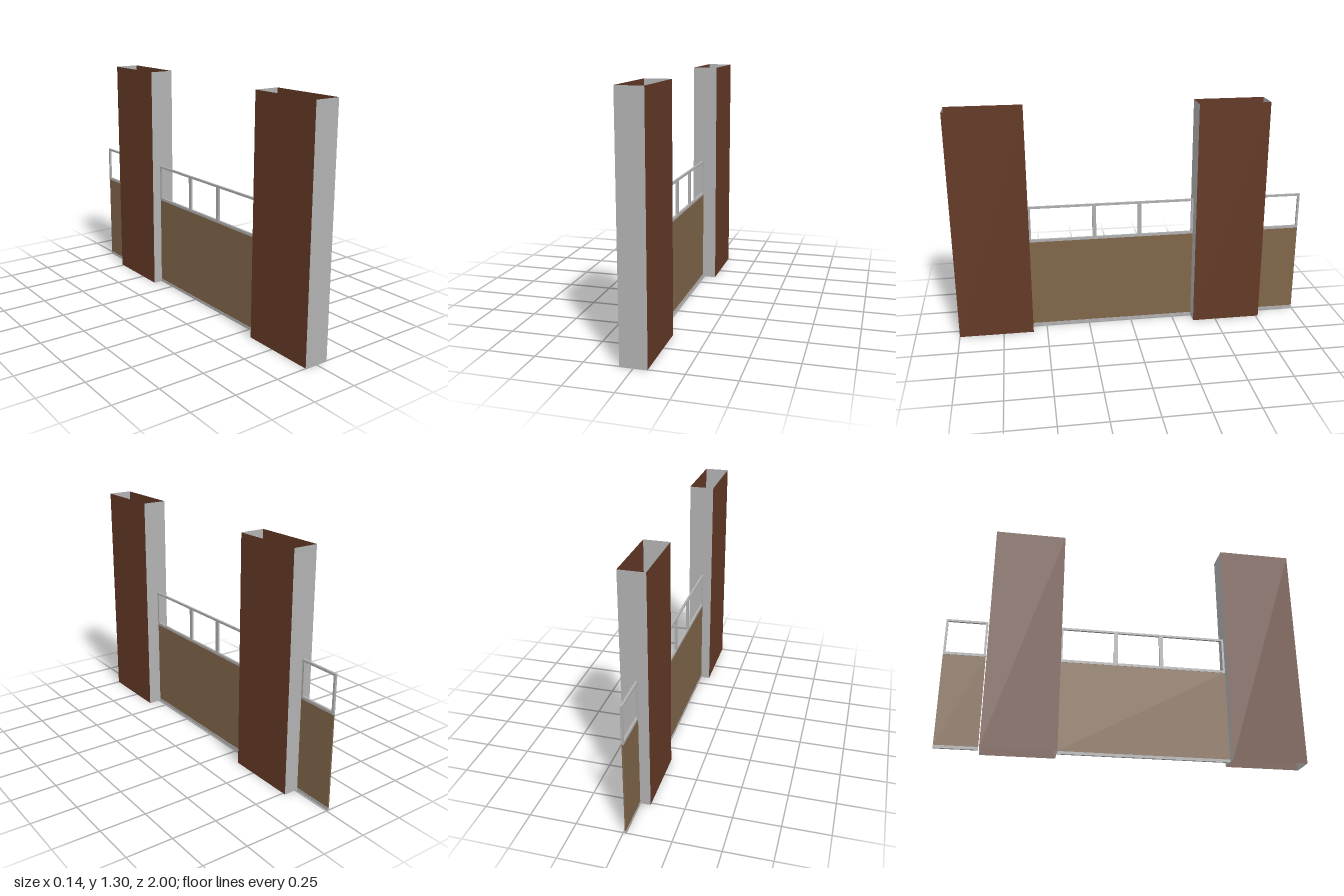
import * as THREE from 'three';

export function createModel() {
  const model = new THREE.Group();
  model.name = 'fenceWithPillars';

  const mat = (name, color, side = THREE.FrontSide) => {
    const m = new THREE.MeshStandardMaterial({ color, side });
    m.name = name;
    return m;
  };
  const brick = mat('brick brown', 0x643926, THREE.DoubleSide);
  const cement = mat('cement grey', 0xb2b2b2, THREE.DoubleSide);
  const steel = mat('steel grey', 0xb0b0b0);
  const board = mat('board tan', 0x80664a);

  const HEIGHT = 1.305, HALF = 0.07, FENCE_X = -0.012;

  // Pillar: four thin walls, open at the top and bottom
  function pillar(name, z0, z1) {
    const g = new THREE.Group();
    g.name = name;
    const depth = z1 - z0;
    for (const s of [1, -1]) {
      const side = new THREE.Mesh(new THREE.PlaneGeometry(depth, HEIGHT), brick);
      side.name = s > 0 ? 'leftWall' : 'rightWall';
      side.rotation.y = s * Math.PI / 2;
      side.position.x = s * HALF;
      const end = new THREE.Mesh(new THREE.PlaneGeometry(HALF * 2, HEIGHT), cement);
      end.name = s > 0 ? 'frontWall' : 'backWall';
      if (s < 0) end.rotation.y = Math.PI;
      end.position.z = s * depth / 2;
      g.add(side, end);
    }
    g.position.set(0, HEIGHT / 2, (z0 + z1) / 2);
    model.add(g);
  }

  function bar(group, name, material, thick, y0, y1, z0, z1) {
    const m = new THREE.Mesh(new THREE.BoxGeometry(thick, y1 - y0, z1 - z0), material);
    m.name = name;
    m.position.set(FENCE_X, (y0 + y1) / 2, (z0 + z1) / 2);
    group.add(m);
  }

  // Fence section: solid board below, open framed windows above
  function fence(name, z0, z1, dividers) {
    const g = new THREE.Group();
    g.name = name;
    bar(g, 'board', board, 0.008, 0.015, 0.53, z0, z1);
    bar(g, 'bottomRail', steel, 0.012, 0, 0.016, z0, z1);
    bar(g, 'middleRail', steel, 0.012, 0.528, 0.543, z0, z1);
    bar(g, 'topRail', steel, 0.012, 0.728, 0.74, z0, z1);
    const posts = [[z0, z0 + 0.012], [z1 - 0.012, z1], ...dividers.map(z => [z - 0.011, z + 0.011])];
    for (const [a, b] of posts) bar(g, 'post', steel, 0.012, 0.543, 0.728, a, b);
    model.add(g);
  }

  pillar('frontPillar', 0.58, 1);
  pillar('backPillar', -0.765, -0.365);
  fence('mainFence', -0.365, 0.58, [0.209, -0.052]);
  fence('endFence', -1, -0.771, []);

  return model;
}
